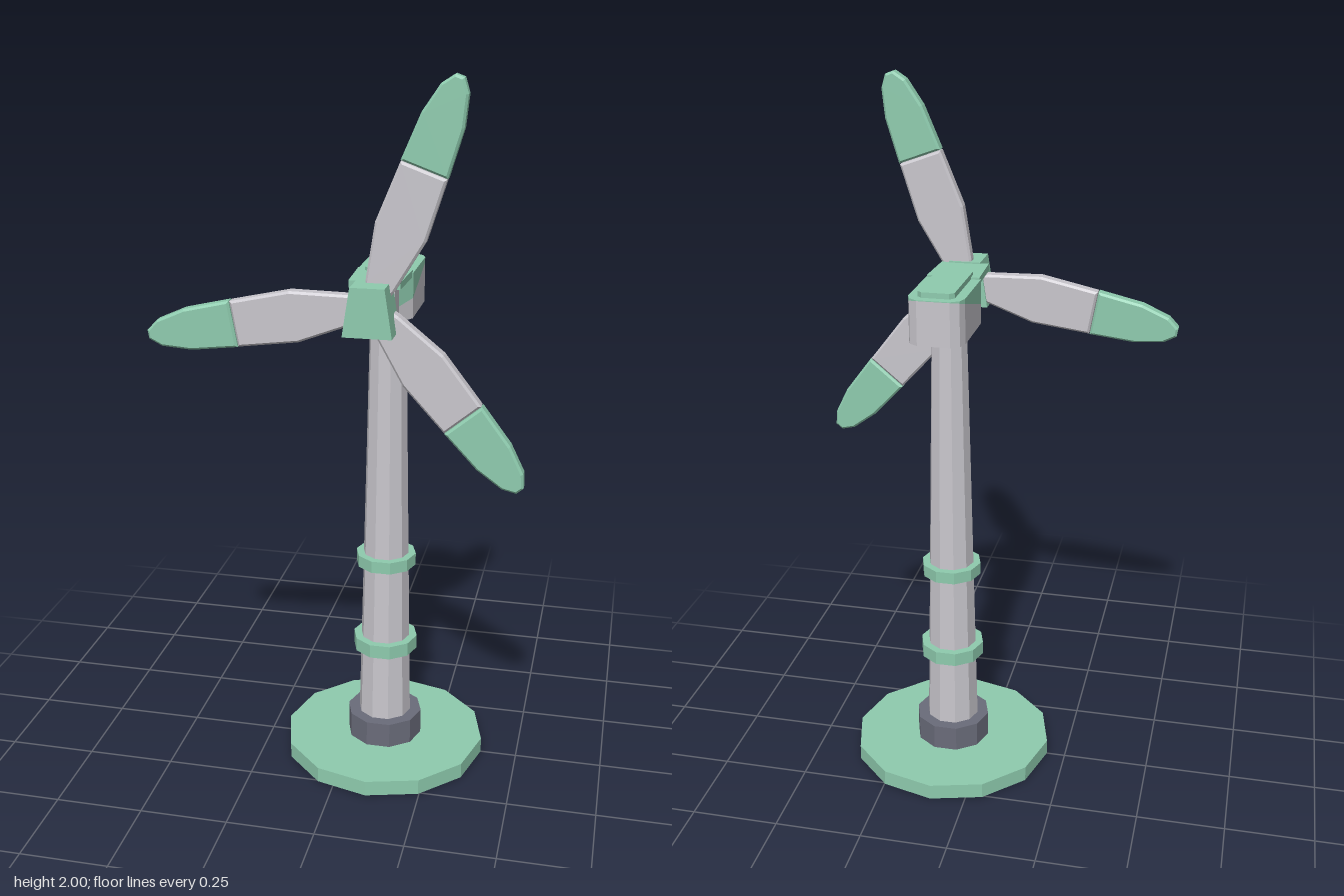
import * as THREE from 'three';

const mat = (name, color) => {
  const m = new THREE.MeshStandardMaterial({ color, flatShading: true });
  m.name = name;
  return m;
};

export function createModel() {
  const green = mat('mint green', 0x8ecbae);
  const grey = mat('light grey', 0xc8c6cc);
  const dark = mat('dark slate', 0x6a6c7a);
  const model = new THREE.Group();
  model.name = 'windTurbine';
  const X = 0.1; // tower axis

  const add = (name, geo, material, parent = model) => {
    const m = new THREE.Mesh(geo, material);
    m.name = name;
    parent.add(m);
    return m;
  };
  // upright faceted drum between two heights
  const drum = (name, y0, y1, r0, r1, sides, material) =>
    add(name, new THREE.CylinderGeometry(r1, r0, y1 - y0, sides)
      .rotateY(Math.PI / 2).translate(X, (y0 + y1) / 2, 0), material);
  const shapeOf = pts => new THREE.Shape(pts.map(p => new THREE.Vector2(p[0], p[1])));
  // slab from an [x, z] outline, between two heights
  const slab = (pts, y0, y1) =>
    new THREE.ExtrudeGeometry(shapeOf(pts.map(([x, z]) => [x, -z])), { depth: y1 - y0, bevelEnabled: false })
      .rotateX(-Math.PI / 2).translate(X, y0, 0);
  // mirror half an outline across its axis
  const mirrored = half => [...half, ...half.map(([x, z]) => [-x, z]).reverse()];

  // Base and tower
  drum('basePlate', 0, 0.045, 0.295, 0.295, 12, green);
  drum('towerFoot', 0.045, 0.12, 0.11, 0.11, 10, dark);
  drum('tower', 0.12, 1.36, 0.077, 0.05, 10, grey);
  drum('lowerRing', 0.33, 0.37, 0.094, 0.094, 10, green);
  drum('upperRing', 0.6, 0.635, 0.087, 0.087, 10, green);

  // Nacelle: one outline, split into two wedges by a sloping plane
  const outline = mirrored([[0.042, 0.11], [0.077, 0.055], [0.077, -0.135], [0.068, -0.16], [0.045, -0.175]]);
  const wedge = isTop => {
    const g = slab(outline, 1.35, 1.475);
    const p = g.attributes.position;
    for (let i = 0; i < p.count; i++) {
      const upper = p.getY(i) > 1.4;
      if (upper !== isTop) p.setY(i, 1.422 - 0.29 * p.getZ(i));
    }
    g.computeVertexNormals();
    return g;
  };
  add('nacelleBody', wedge(false), grey);
  add('nacelleCover', wedge(true), green);

  // Raised roof panel with clipped corners
  add('roofPanel', slab(mirrored([[0.038, 0.09], [0.05, 0.078], [0.05, -0.138], [0.038, -0.15]]), 1.47, 1.49), green);

  // Neck joining nacelle to rotor
  add('neckPlate', slab(mirrored([[0.035, 0.2], [0.068, 0.2], [0.074, 0.05], [0.035, 0.05]]), 1.462, 1.481), green);
  add('neckBlock', new THREE.BoxGeometry(0.1, 0.09, 0.06).translate(X, 1.42, 0.148), grey);
  add('rotorShaft', new THREE.CylinderGeometry(0.03, 0.03, 0.14, 10)
    .rotateX(Math.PI / 2).translate(X, 1.42, 0.15), grey);

  // Hub: tapered block
  add('hub', new THREE.ExtrudeGeometry(
    shapeOf([[-0.065, -0.065], [0.065, -0.065], [0.045, 0.065], [-0.045, 0.065]]),
    { depth: 0.105, bevelEnabled: false }).translate(X, 1.42, 0.19), green);

  // Blades: chamfered plates pointing along +x, then turned around the hub
  const plate = half => new THREE.ExtrudeGeometry(
    shapeOf([...half.map(([u, v]) => [u, -v]), ...half.slice().reverse()]),
    { depth: 0.028, bevelEnabled: true, bevelSize: 0.006, bevelThickness: 0.006, bevelOffset: -0.006, bevelSegments: 1 })
    .translate(0, 0, -0.014);
  const bladeGeo = plate([[0.03, 0.03], [0.06, 0.04], [0.21, 0.069], [0.375, 0.062]]);
  const tipGeo = plate([[0.377, 0.063], [0.505, 0.056], [0.585, 0.036], [0.617, 0.012]]);
  for (const deg of [70, 190, 310]) {
    const blade = new THREE.Group();
    blade.name = 'rotorBlade';
    add('bladePanel', bladeGeo, grey, blade);
    add('bladeTip', tipGeo, green, blade);
    blade.position.set(X, 1.42, 0.215);
    blade.rotation.z = THREE.MathUtils.degToRad(deg);
    model.add(blade);
  }
  return model;
}
